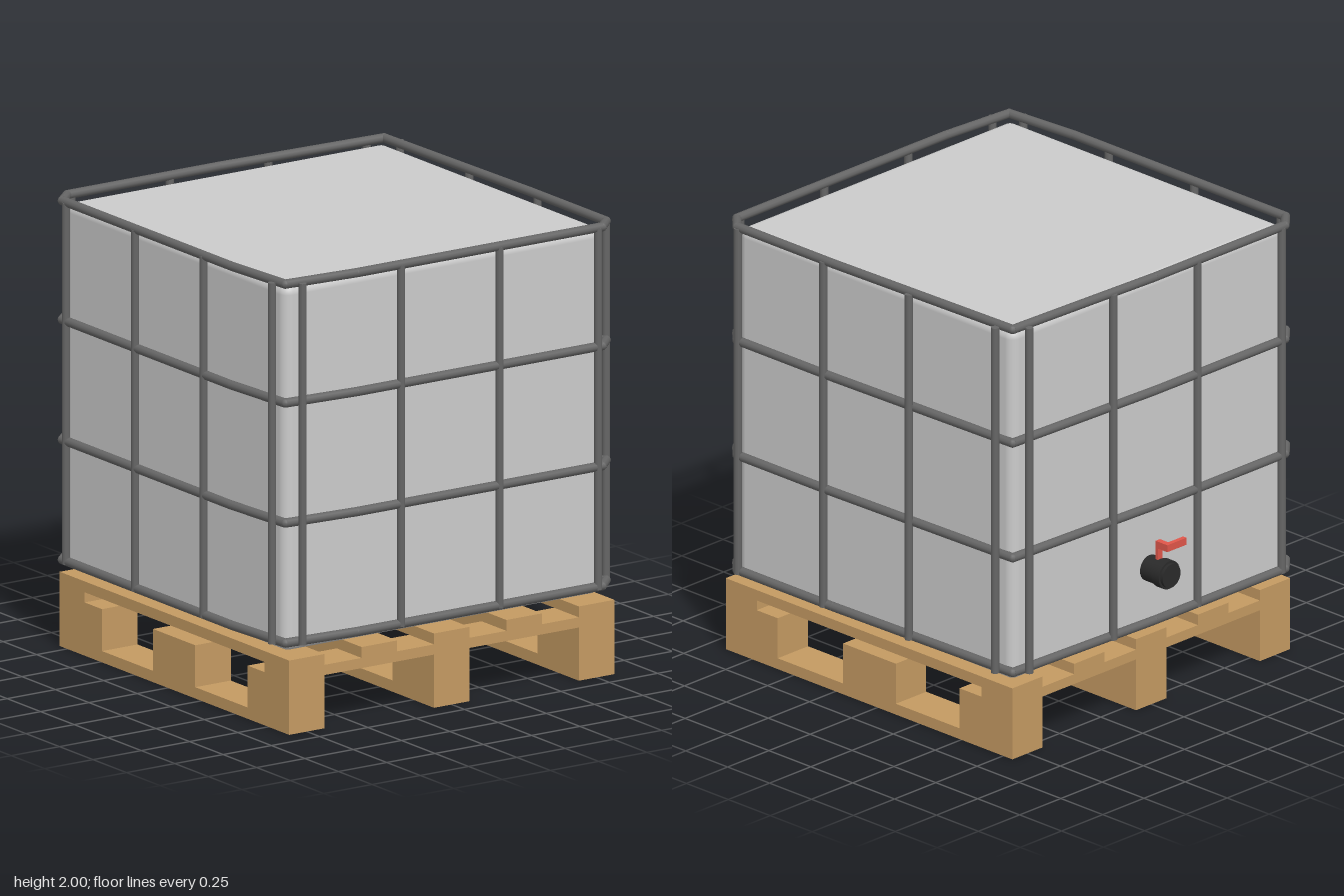
import * as THREE from 'three';
import { RoundedBoxGeometry } from 'three/addons/geometries/RoundedBoxGeometry.js';

const material = (color) => new THREE.MeshStandardMaterial({ color });

export function createModel() {
  const model = new THREE.Group();
  const grey = material(0xcccccc);
  const steel = material(0x666666);
  const wood = material(0xc49a62);
  const black = material(0x2a2a2a);
  const red = material(0xe0564a);

  const group = (name) => {
    const g = new THREE.Group();
    g.name = name;
    model.add(g);
    return g;
  };
  const add = (parent, name, geometry, mat) => {
    const mesh = new THREE.Mesh(geometry, mat);
    mesh.name = name;
    parent.add(mesh);
    return mesh;
  };
  // Box given by its lower and upper limits on each axis
  const box = (parent, name, mat, x0, x1, y0, y1, z0, z1) => {
    const mesh = add(parent, name, new THREE.BoxGeometry(x1 - x0, y1 - y0, z1 - z0), mat);
    mesh.position.set((x0 + x1) / 2, (y0 + y1) / 2, (z0 + z1) / 2);
  };
  // Round bar between two points
  const up = new THREE.Vector3(0, 1, 0);
  const rod = (parent, name, a, b, r, mat, sides = 10) => {
    const dir = b.clone().sub(a);
    const mesh = add(parent, name, new THREE.CylinderGeometry(r, r, dir.length(), sides), mat);
    mesh.position.copy(a).add(b).multiplyScalar(0.5);
    mesh.quaternion.setFromUnitVectors(up, dir.normalize());
  };
  const v = (x, y, z) => new THREE.Vector3(x, y, z);

  // Pallet: three runners with blocks, two cross boards, five deck planks
  const pallet = group('pallet');
  const front = 0.905, back = -0.805;
  for (const x of [-0.75, 0, 0.75]) {
    box(pallet, 'runner', wood, x - 0.092, x + 0.092, 0, 0.05, back, front);
    for (const [z0, z1] of [[0.595, front], [-0.11, 0.205], [back, -0.49]])
      box(pallet, 'block', wood, x - 0.092, x + 0.092, 0.05, 0.235, z0, z1);
  }
  for (const [z0, z1] of [[0.72, front], [back, -0.62]])
    box(pallet, 'crossBoard', wood, -0.842, 0.842, 0.235, 0.28, z0, z1);
  for (let i = -2; i <= 2; i++)
    box(pallet, 'deckPlank', wood, i * 0.375 - 0.092, i * 0.375 + 0.092, 0.28, 0.328, back, front);

  // Tank
  const tank = add(model, 'tank', new RoundedBoxGeometry(1.65, 1.62, 1.64, 4, 0.045), grey);
  tank.position.set(0, 1.155, 0.03);

  // Cage: four hoops, chamfered at two opposite corners
  const cage = group('cage');
  const outline = [
    [-0.86, -0.76], [-0.79, -0.825], [0, -0.825], [0.83, -0.795], [0.855, 0.25],
    [0.855, 0.825], [0.79, 0.89], [-0.48, 0.89], [-0.835, 0.865], [-0.86, 0.5],
  ];
  for (const y of [0.395, 0.925, 1.455, 1.98]) {
    outline.forEach(([x, z], i) => {
      const [nx, nz] = outline[(i + 1) % outline.length];
      rod(cage, 'hoopBar', v(x, y, z), v(nx, y, nz), 0.02, steel);
      add(cage, 'hoopJoint', new THREE.SphereGeometry(0.02, 10, 8), steel).position.set(x, y, z);
    });
  }

  // Cage: four uprights on each side
  const upright = (x, z) => rod(cage, 'upright', v(x, 0.385, z), v(x, 1.98, z), 0.018, steel);
  for (const x of [-0.765, -0.255, 0.255, 0.765]) {
    upright(x, 0.895);
    upright(x, -0.83);
  }
  for (const z of [0.81, 0.3, -0.21, -0.725]) {
    upright(0.865, z);
    upright(-0.865, z);
  }

  // Outlet valve on the back
  const valve = group('valve');
  const vy = 0.626, vx = -0.005;
  rod(valve, 'valveBody', v(vx, vy, -0.77), v(vx, vy, -0.875), 0.058, black, 24);
  rod(valve, 'valveCollar', v(vx, vy, -0.865), v(vx, vy, -0.908), 0.064, black, 24);
  rod(valve, 'valveCap', v(vx, vy, -0.9), v(vx, vy, -0.922), 0.054, black, 24);

  // Valve handle: post, arm and grip
  box(valve, 'handlePost', red, -0.02, 0.007, 0.67, 0.74, -0.852, -0.837);
  box(valve, 'handleArm', red, -0.02, 0.007, 0.735, 0.767, -0.908, -0.837);
  box(valve, 'handleGrip', red, -0.11, -0.015, 0.735, 0.767, -0.908, -0.887);

  return model;
}
